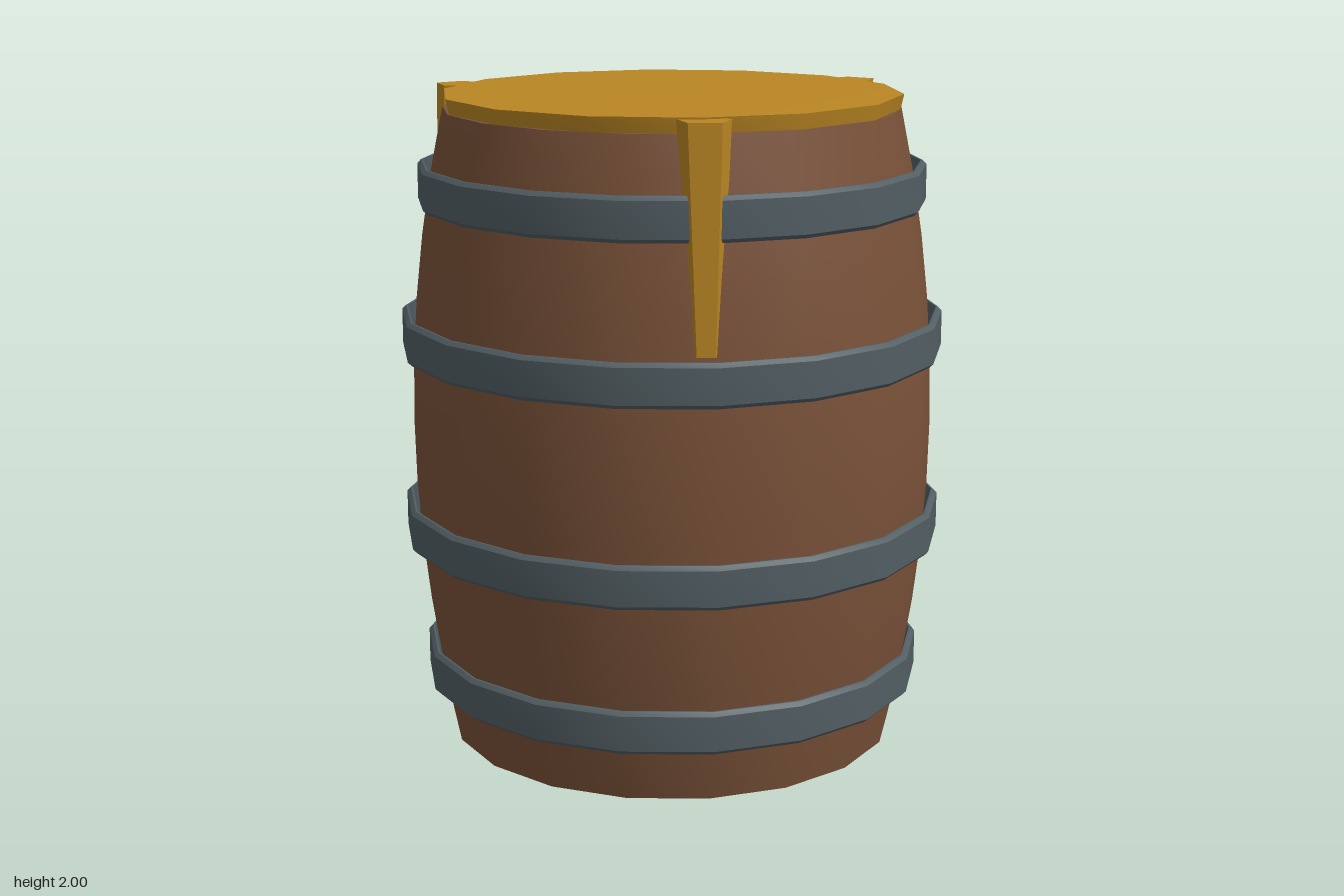
import * as THREE from 'three';
import { toCreasedNormals } from 'three/addons/utils/BufferGeometryUtils.js';

const CREASE = 0.6; // smooths the round sides, keeps rims and drip edges sharp

function material(name, color) {
  const m = new THREE.MeshStandardMaterial({ color });
  m.name = name;
  return m;
}

function part(name, geometry, mat) {
  const mesh = new THREE.Mesh(toCreasedNormals(geometry, CREASE), mat);
  mesh.name = name;
  return mesh;
}

// Lathe whose first corner points along +x
function turned(profile, sides) {
  const points = profile.map(([r, y]) => new THREE.Vector2(r, y));
  return new THREE.LatheGeometry(points, sides, Math.PI / 2);
}

export function createModel() {
  const wood = material('brown wood', 0x7a5239);
  const steel = material('dark steel', 0x525e63);
  const ochre = material('ochre liquid', 0xba8623);
  const group = new THREE.Group();
  group.name = 'barrel';

  // Bulging body, closed at both ends
  const height = 1.94, mid = height / 2, steps = 10;
  const profile = [[0, 0]];
  for (let i = 0; i <= steps; i++) {
    const y = (height * i) / steps;
    profile.push([0.8 - 0.11 * ((y - mid) / mid) ** 2, y]);
  }
  profile.push([0, height]);
  group.add(part('body', turned(profile, 18), wood));

  // Four loose hoops with chamfered outer edges
  const half = 0.065, chamfer = 0.012;
  for (const [r, y] of [[0.77, 0.23], [0.828, 0.685], [0.828, 1.265], [0.77, 1.715]]) {
    const inner = r - 0.018;
    group.add(part('hoop', turned([
      [inner, y - half], [r - chamfer, y - half], [r, y - half + chamfer],
      [r, y + half - chamfer], [r - chamfer, y + half], [inner, y + half], [inner, y - half],
    ], 18), steel));
  }

  // Slightly domed surface of the liquid
  group.add(part('liquidTop', turned(
    [[0, 1.94], [0.685, 1.94], [0.695, 1.985], [0, 2]], 14), ochre));

  // Tapered five-sided drips leaning outward with the body: x, z, bottom height
  const top = 1.98, lean = 0.045;
  for (const [x, z, bottom] of [[-0.147, 0.694, 1.34], [0.675, -0.212, 1.535], [-0.528, -0.487, 1.45]]) {
    const length = top - bottom;
    const slope = -lean / length / Math.hypot(x, z);
    const drip = new THREE.CylinderGeometry(0.08, 0.045, length, 5, 1, false, Math.PI / 2);
    drip.translate(0, -length / 2, 0);
    drip.applyMatrix4(new THREE.Matrix4().set(
      1, slope * x, 0, x,
      0, 1, 0, top,
      0, slope * z, 1, z,
      0, 0, 0, 1));
    group.add(part('drip', drip, ochre));
  }
  return group;
}
